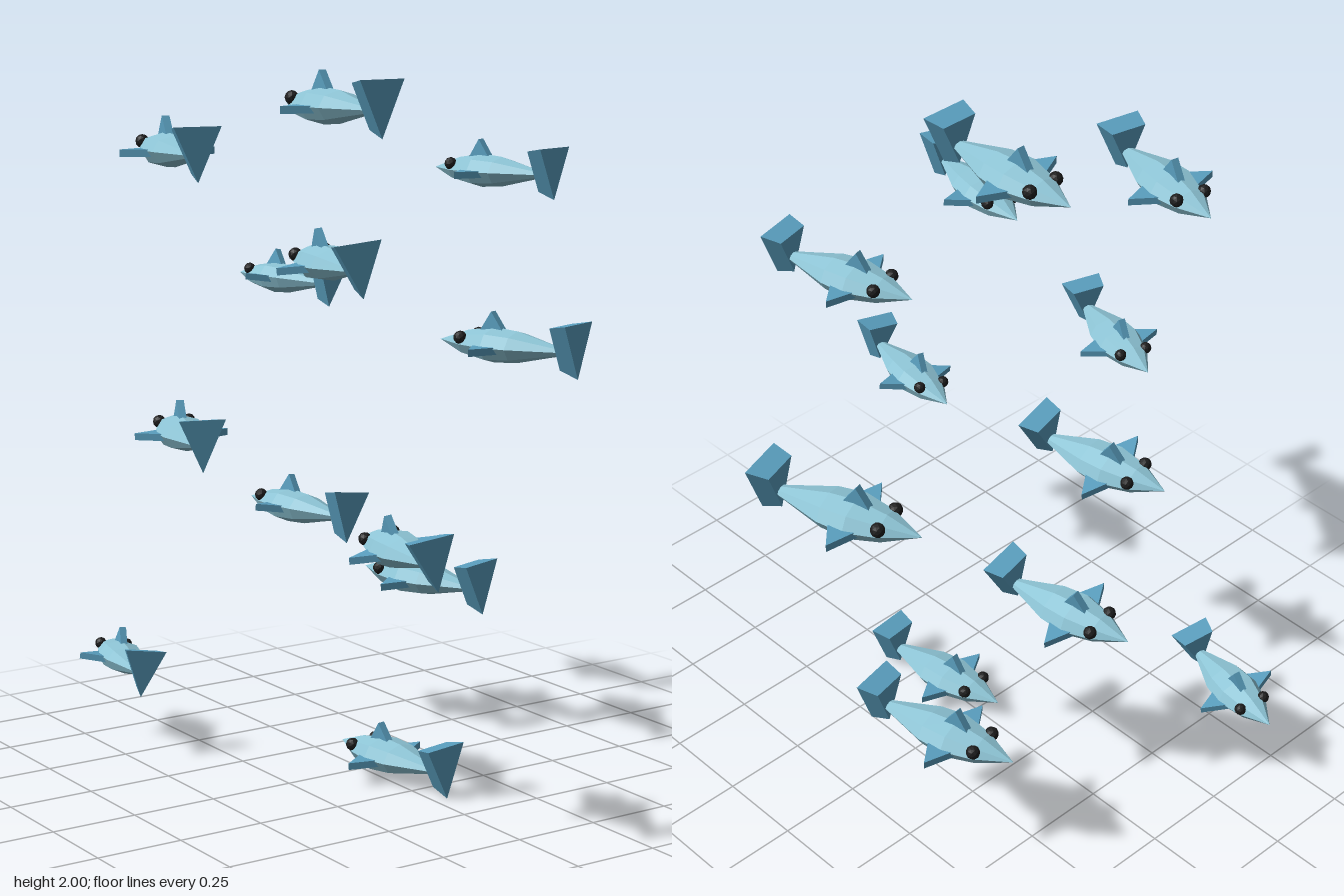
import * as THREE from 'three';

const material = (color) => new THREE.MeshStandardMaterial({ color, flatShading: true });

// Triangular plate in the XY plane, centred on its thickness
function plate(points, thickness) {
  const shape = new THREE.Shape(points.map(([x, y]) => new THREE.Vector2(x, y)));
  const g = new THREE.ExtrudeGeometry(shape, { depth: thickness, bevelEnabled: false });
  return g.translate(0, 0, -thickness / 2);
}

// [nose x, y, nose z, yaw degrees, roll degrees, scale]
const SCHOOL = [
  [-0.07, 1.9, -0.28, 0, 0, 1.07],
  [-0.43, 1.785, -0.445, -12, 0, 1.0],
  [0.324, 1.71, -0.104, 14, 0, 0.96],
  [-0.328, 1.53, 0.18, -11, 6, 0.96],
  [0.086, 1.35, -0.793, 9, -9, 0.92],
  [0.513, 1.165, -0.338, 19, 0, 1.09],
  [-0.557, 1.055, -0.132, -17, 0, 0.93],
  [-0.262, 0.8, 0.405, -9.5, 8, 0.94],
  [0.02, 0.69, -0.63, 7.5, -8, 1.0],
  [0.394, 0.435, -0.566, 13, 2, 1.06],
  [-0.385, 0.25, -0.826, -13, -8, 0.91],
  [-0.015, 0.068, -0.08, 7, 2, 0.99],
];
const NOSE = 0.205;

export function createModel() {
  const bodyMat = material(0x8ec5d6);
  const finMat = material(0x5a9fbf);
  const eyeMat = material(0x1c1c1c);

  // Faceted spindle body, nose towards -z
  const profile = [[0, -NOSE], [0.052, -0.11], [0.074, -0.025], [0.066, 0.05], [0.038, 0.13], [0.014, 0.2], [0, 0.2]];
  const body = new THREE.LatheGeometry(profile.map(([r, y]) => new THREE.Vector2(r, y)), 8);
  body.rotateX(Math.PI / 2).scale(1, 0.66, 1);

  // Dorsal fin: upright triangle along the spine
  const dorsal = plate([[-0.012, 0.035], [0.068, 0.035], [0.03, 0.092]], 0.022);
  dorsal.rotateY(Math.PI / 2);

  // Side fin: flat triangle pointing sideways
  const sideFin = plate([[0.055, -0.03], [0.137, 0.012], [0.055, 0.052]], 0.02);
  sideFin.rotateX(-Math.PI / 2);

  // Tail: three-sided wedge, wide edge on top, point below
  const tail = new THREE.CylinderGeometry(1, 0.8, 0.058, 3);
  tail.rotateX(Math.PI / 2).scale(0.135 / Math.sqrt(3), 0.1, 1).translate(0, 0.03, 0.216);

  const eye = new THREE.IcosahedronGeometry(0.019, 1);

  function makeFish() {
    const fish = new THREE.Group();
    const add = (name, geometry, mat) => {
      const mesh = new THREE.Mesh(geometry, mat);
      mesh.name = name;
      fish.add(mesh);
      return mesh;
    };
    add('body', body, bodyMat);
    add('dorsalFin', dorsal, finMat);
    add('tailFin', tail, finMat);
    for (const [side, s] of [['left', 1], ['right', -1]]) {
      const fin = add(side + 'Fin', sideFin, finMat);
      fin.position.set(0, -0.006, -0.006);
      if (s < 0) fin.rotation.z = Math.PI;
      if (s < 0) fin.position.y = -0.006;
      add(side + 'Eye', eye, eyeMat).position.set(s * 0.044, 0.018, -0.108);
    }
    return fish;
  }

  // Place the school, each fish located by its nose
  const model = new THREE.Group();
  model.name = 'fishSchool';
  SCHOOL.forEach(([x, y, z, yaw, roll, s], i) => {
    const fish = makeFish();
    const a = THREE.MathUtils.degToRad(yaw);
    fish.name = 'fish' + (i + 1);
    fish.position.set(x + NOSE * s * Math.sin(a), y, z + NOSE * s * Math.cos(a));
    fish.rotation.set(0, a, THREE.MathUtils.degToRad(roll));
    fish.scale.setScalar(s);
    model.add(fish);
  });
  return model;
}
